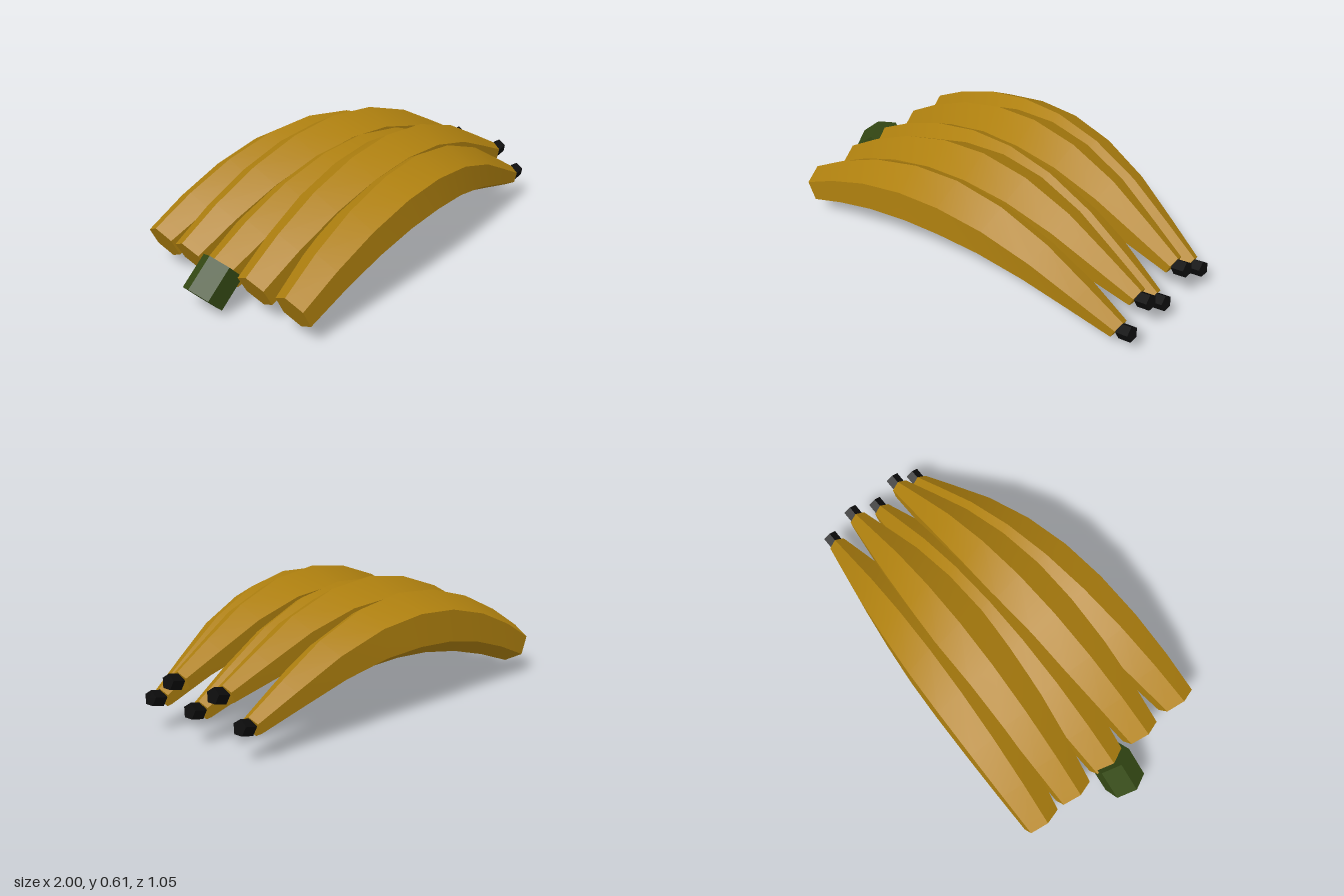
import * as THREE from 'three';
import { toCreasedNormals } from 'three/addons/utils/BufferGeometryUtils.js';

const peel = new THREE.MeshStandardMaterial({ name: 'yellowPeel', color: 0xb0810f });
const green = new THREE.MeshStandardMaterial({ name: 'greenStem', color: 0x344914, flatShading: true });
const black = new THREE.MeshStandardMaterial({ name: 'blackTip', color: 0x0c0c0c, flatShading: true });

// Stations along one fruit: x, y, radius
const STATIONS = [
  [-0.805, 0.15, 0.096], [-0.605, 0.248, 0.118], [-0.385, 0.333, 0.137],
  [-0.155, 0.389, 0.15], [0.06, 0.408, 0.153], [0.28, 0.39, 0.141],
  [0.51, 0.328, 0.116], [0.73, 0.235, 0.081], [0.92, 0.153, 0.05],
];
const SIDES = 6;
const X0 = STATIONS[0][0], X1 = STATIONS[STATIONS.length - 1][0];

// Hexagonal section, ridge upwards, swept along the arched centreline
function fruitGeometry(zStem, zTip, lift) {
  const centres = STATIONS.map(([x, y]) => {
    const t = (x - X0) / (X1 - X0);
    return new THREE.Vector3(x, y + lift * t, THREE.MathUtils.lerp(zStem, zTip, t));
  });
  const last = centres.length - 1;
  const position = [], index = [];
  centres.forEach((c, i) => {
    const a = centres[Math.max(i - 1, 0)], b = centres[Math.min(i + 1, last)];
    const dx = b.x - a.x, dy = b.y - a.y, len = Math.hypot(dx, dy);
    for (let j = 0; j < SIDES; j++) {
      const angle = (j / SIDES) * Math.PI * 2, r = STATIONS[i][2];
      const up = r * Math.cos(angle);
      position.push(c.x - (dy / len) * up, c.y + (dx / len) * up, c.z + r * Math.sin(angle));
    }
  });
  for (let i = 0; i < last; i++) {
    for (let j = 0; j < SIDES; j++) {
      const k = (j + 1) % SIDES, p = i * SIDES, q = p + SIDES;
      index.push(p + j, p + k, q + k, p + j, q + k, q + j);
    }
  }
  // Flat ends
  for (let j = 1; j < SIDES - 1; j++) {
    const e = last * SIDES;
    index.push(0, j + 1, j, e, e + j, e + j + 1);
  }
  const geometry = new THREE.BufferGeometry();
  geometry.setAttribute('position', new THREE.Float32BufferAttribute(position, 3));
  geometry.setIndex(index);
  return toCreasedNormals(geometry, THREE.MathUtils.degToRad(35));
}

export function createModel() {
  const model = new THREE.Group();
  model.name = 'bananaBunch';

  // Five fruits: z at the stem, z at the tip, rise of the tip
  const fruits = [
    [0.44, 0.262, 0], [0.2, 0.14, 0.1], [-0.02, 0.01, 0],
    [-0.238, -0.136, 0.1], [-0.44, -0.286, 0],
  ];
  const tipGeometry = new THREE.CylinderGeometry(0.037, 0.037, 0.064, 5, 1, false, -Math.PI / 2);
  fruits.forEach(([zStem, zTip, lift], i) => {
    const banana = new THREE.Group();
    banana.name = `banana${i + 1}`;
    const body = new THREE.Mesh(fruitGeometry(zStem, zTip, lift), peel);
    body.name = 'peel';
    const tip = new THREE.Mesh(tipGeometry, black);
    tip.name = 'tip';
    tip.position.set(0.9615, 0.161 + lift, zTip);
    tip.rotation.z = -Math.PI / 2 + 0.25;
    banana.add(body, tip);
    model.add(banana);
  });

  // Cut stem joining the bunch
  const stem = new THREE.Mesh(
    new THREE.CylinderGeometry(0.102, 0.102, 0.17, 6, 1, false, Math.PI / 2), green);
  stem.name = 'stem';
  stem.position.set(-0.868, 0.138, -0.007);
  stem.rotation.z = -0.82;
  model.add(stem);

  return model;
}
